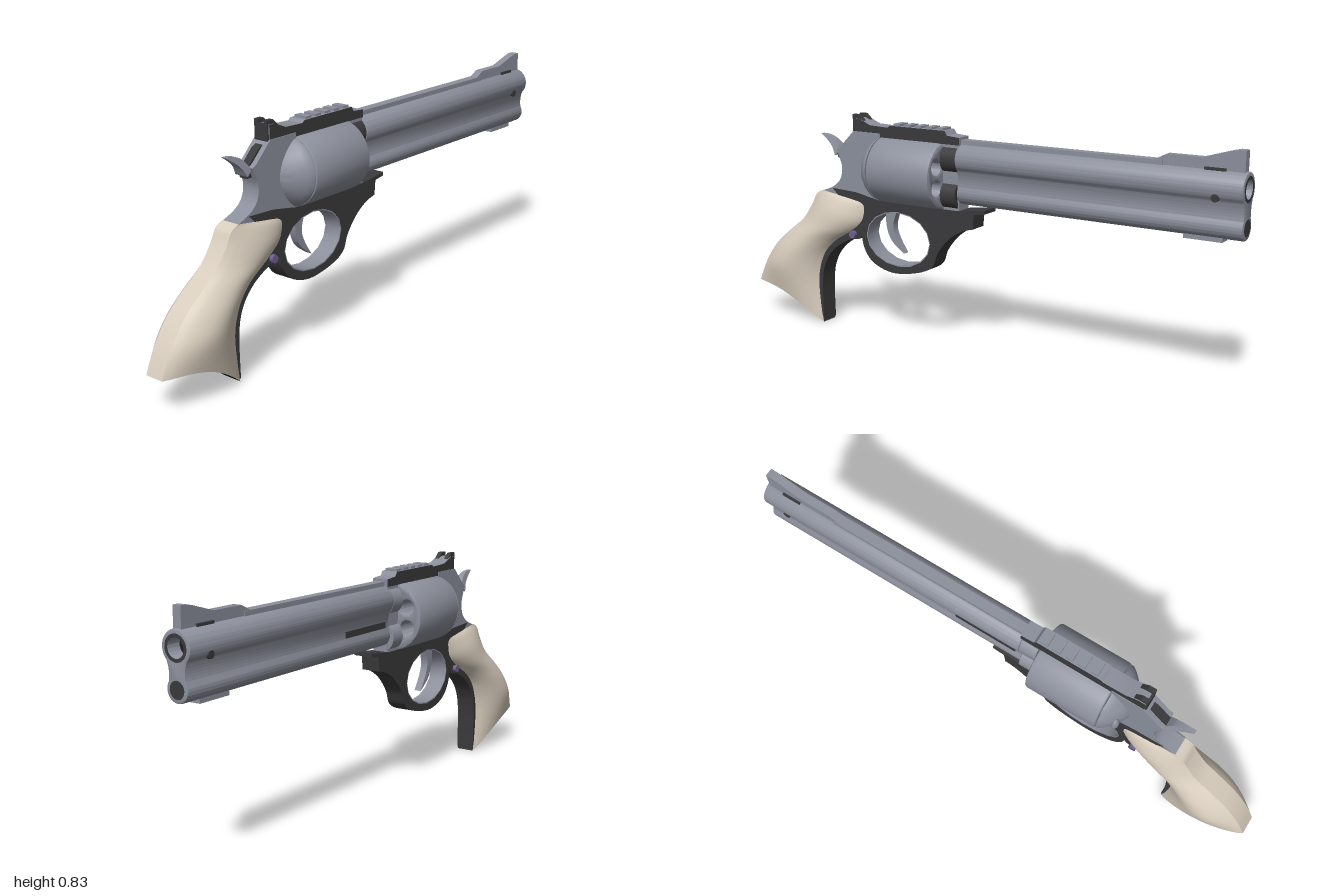
import * as THREE from 'three';
import { toCreasedNormals } from 'three/addons/utils/BufferGeometryUtils.js';

const mat = (name, color, side = THREE.FrontSide) => {
  const m = new THREE.MeshStandardMaterial({ color, side });
  m.name = name;
  return m;
};

export function createModel() {
  const model = new THREE.Group();
  model.name = 'revolver';
  const steel = mat('steel', 0x8c909c), dark = mat('dark steel', 0x3a3a3c);
  const ivory = mat('ivory', 0xd8cdbd), black = mat('black', 0x1f1f20);
  const purple = mat('purple pin', 0x6f6090);

  const add = (name, geo, material, x = 0, y = 0, z = 0) => {
    const m = new THREE.Mesh(geo, material);
    m.name = name;
    m.position.set(x, y, z);
    model.add(m);
    return m;
  };
  const box = (name, material, w, y0, y1, z0, z1, x = 0) =>
    add(name, new THREE.BoxGeometry(w, y1 - y0, z1 - z0), material, x, (y0 + y1) / 2, (z0 + z1) / 2);
  const vecs = pts => pts.map(p => new THREE.Vector2(...p));
  // Side profile drawn as (z, y), extruded symmetrically across x
  const profile = (name, shape, half, material) => {
    const g = new THREE.ExtrudeGeometry(shape, { depth: half * 2, bevelEnabled: false, curveSegments: 8 });
    g.translate(0, 0, -half).rotateY(-Math.PI / 2);
    return add(name, toCreasedNormals(g, 0.6), material);
  };
  const poly = pts => new THREE.Shape(vecs(pts));
  const circle = (x, y, r) => new THREE.Path().absarc(x, y, r, 0, Math.PI * 2, true);
  // Extrusion along z starting at z0
  const along = (name, shape, z0, depth, material, bevel = 0) => {
    const g = new THREE.ExtrudeGeometry(shape, {
      depth: depth - 2 * bevel, bevelEnabled: bevel > 0, bevelSize: bevel, bevelThickness: bevel,
      bevelOffset: -bevel, bevelSegments: 2, curveSegments: 32,
    });
    g.translate(0, 0, z0 + bevel);
    return add(name, toCreasedNormals(g, 0.6), material);
  };
  const rod = (r, len, start = 0, sweep = Math.PI * 2) =>
    new THREE.CylinderGeometry(r, r, len, 28, 1, false, start, sweep).rotateX(Math.PI / 2);

  // Barrel with full underlug and waisted section
  const b = new THREE.Shape();
  b.absarc(0, 0.705, 0.055, -0.75, Math.PI + 0.75, false);
  b.quadraticCurveTo(-0.028, 0.637, -0.034, 0.606);
  b.absarc(0, 0.583, 0.041, Math.PI - 0.6, Math.PI * 2 + 0.6, false);
  b.quadraticCurveTo(0.028, 0.637, 0.0402, 0.6675);
  b.holes.push(circle(0, 0.705, 0.031));
  along('barrel', b, -1, 1.045, steel, 0.006);
  add('bore', new THREE.CircleGeometry(0.033, 28).rotateY(Math.PI), black, 0, 0.705, -0.95);
  add('muzzleCrown', new THREE.RingGeometry(0.031, 0.042, 28).rotateY(Math.PI), dark, 0, 0.705, -1.0005);
  add('underlugCap', new THREE.CircleGeometry(0.028, 24).rotateY(Math.PI), dark, 0, 0.583, -1.0005);
  box('barrelRib', steel, 0.036, 0.74, 0.773, -0.72, 0.045);
  box('underlugPad', steel, 0.04, 0.532, 0.56, -0.93, -0.8);
  box('ejectorSlot', dark, 0.008, 0.612, 0.634, -0.22, 0.02, -0.031);
  const port = new THREE.CylinderGeometry(0.013, 0.013, 0.106, 16).rotateZ(Math.PI / 2);
  add('barrelPorts', port, dark, 0, 0.677, -0.91);
  box('sightSlot', dark, 0.045, 0.757, 0.766, -0.93, -0.86);
  profile('frontSight', poly([[-0.68, 0.75], [-0.69, 0.773], [-0.73, 0.793], [-0.85, 0.793],
    [-0.94, 0.82], [-0.965, 0.826], [-0.99, 0.826], [-0.99, 0.75]]), 0.015, steel);

  // Cylinder with six chambers
  const drum = new THREE.Shape().absarc(0, 0, 0.123, 0, Math.PI * 2, false);
  for (let i = 0; i < 6; i++) {
    const a = i * Math.PI / 3 + Math.PI / 2;
    drum.holes.push(circle(Math.cos(a) * 0.075, Math.sin(a) * 0.075, 0.027));
  }
  along('cylinder', drum, 0.112, 0.274, steel, 0.009).position.y = 0.637;

  // Domed recoil shield and release button
  const dome = new THREE.LatheGeometry(vecs([[0, 0.389], [0.12, 0.389], [0.119, 0.395], [0.107, 0.412],
    [0.086, 0.433], [0.06, 0.452], [0.03, 0.467], [0, 0.472]]), 48).rotateX(Math.PI / 2);
  add('recoilShield', toCreasedNormals(dome, 0.7), steel, 0, 0.637, 0);
  const button = add('releaseButton', new THREE.SphereGeometry(1, 20, 14), steel, -0.078, 0.633, 0.438);
  button.scale.set(0.017, 0.035, 0.014);

  // Collars joining the barrel and crane to the frame
  box('framePost', steel, 0.06, 0.515, 0.77, 0.04, 0.108);
  for (const [name, y, r] of [['barrelCollar', 0.702, 0.052], ['craneCollar', 0.572, 0.052]]) {
    add(name + 'Left', rod(r, 0.062, 0, Math.PI), dark, 0, y, 0.077);
    add(name + 'Right', rod(r, 0.062, Math.PI, Math.PI), steel, 0, y, 0.077);
  }

  // Rear frame
  const rear = new THREE.Shape();
  rear.moveTo(0.385, 0.77);
  rear.lineTo(0.385, 0.5);
  rear.lineTo(0.5, 0.47);
  rear.lineTo(0.67, 0.5);
  rear.lineTo(0.66, 0.53);
  rear.splineThru(vecs([[0.605, 0.553], [0.572, 0.585], [0.563, 0.63], [0.578, 0.675], [0.588, 0.695]]));
  rear.lineTo(0.57, 0.705);
  rear.lineTo(0.505, 0.77);
  profile('rearFrame', rear, 0.034, steel);

  // Lower frame and trigger guard
  const guard = new THREE.Shape();
  guard.moveTo(0.61, 0.545);
  guard.lineTo(0.5, 0.54);
  guard.lineTo(0.39, 0.52);
  guard.lineTo(0.05, 0.52);
  guard.lineTo(-0.07, 0.535);
  guard.lineTo(-0.07, 0.522);
  guard.lineTo(-0.025, 0.515);
  guard.lineTo(-0.02, 0.462);
  guard.splineThru(vecs([[0.03, 0.447], [0.085, 0.41], [0.13, 0.355], [0.155, 0.3], [0.22, 0.268],
    [0.33, 0.252], [0.42, 0.278], [0.464, 0.33], [0.475, 0.39], [0.475, 0.45]]));
  guard.lineTo(0.53, 0.47);
  const oval = (rz, ry) => new THREE.Path().absellipse(0.308, 0.383, rz, ry, 0, Math.PI * 2, true, 0);
  guard.holes.push(oval(0.145, 0.104));
  profile('triggerGuardFrame', guard, 0.0355, dark);
  const lining = new THREE.Shape().absellipse(0.308, 0.383, 0.147, 0.106, 0, Math.PI * 2, false, 0);
  lining.holes.push(oval(0.141, 0.1));
  profile('guardLining', lining, 0.0345, steel);

  // Trigger
  const trigger = new THREE.Shape();
  trigger.moveTo(0.32, 0.5);
  trigger.lineTo(0.372, 0.5);
  trigger.splineThru(vecs([[0.375, 0.43], [0.352, 0.37], [0.296, 0.326]]));
  trigger.splineThru(vecs([[0.33, 0.38], [0.343, 0.43], [0.32, 0.5]]));
  profile('trigger', trigger, 0.014, steel);

  // Top strap, raised ribs and rear sight
  profile('topStrap', poly([[0.04, 0.755], [0.04, 0.782], [0.09, 0.786], [0.1, 0.802], [0.34, 0.802],
    [0.35, 0.794], [0.43, 0.797], [0.48, 0.818], [0.505, 0.818], [0.505, 0.755]]), 0.031, [dark, steel]);
  for (let i = 0; i < 5; i++) box('strapRib', steel, 0.05, 0.798, 0.81, 0.11 + i * 0.047, 0.138 + i * 0.047);
  box('rearSightPlate', dark, 0.056, 0.74, 0.82, 0.503, 0.511);
  for (const s of [-1, 1])
    profile('rearSightEar', poly([[0.45, 0.8], [0.485, 0.832], [0.511, 0.832], [0.511, 0.8]]), 0.008, dark)
      .position.x = s * 0.02;

  // Hammer
  profile('hammerBody', poly([[0.5, 0.66], [0.595, 0.66], [0.6, 0.69], [0.58, 0.705], [0.54, 0.745], [0.5, 0.765]]),
    0.015, dark);
  const spur = new THREE.Shape();
  spur.moveTo(0.58, 0.69);
  spur.lineTo(0.602, 0.67);
  spur.splineThru(vecs([[0.62, 0.7], [0.645, 0.722], [0.68, 0.745]]));
  spur.splineThru(vecs([[0.645, 0.742], [0.61, 0.725], [0.58, 0.69]]));
  const spurMesh = profile('hammerSpur', spur, 0.025, steel);
  // Spur is broad low down and narrows towards its tip
  const sp = spurMesh.geometry.attributes.position;
  for (let i = 0; i < sp.count; i++)
    sp.setX(i, sp.getX(i) * THREE.MathUtils.mapLinear(sp.getY(i), 0.67, 0.745, 1.1, 0.3));
  spurMesh.geometry.computeVertexNormals();

  // Grip cross-sections: back z, y, front z, y, half width, upward bow
  const keys = [[0.66, 0.532, 0.475, 0.505, 0.036, 0], [0.69, 0.515, 0.46, 0.485, 0.05, 0],
    [0.712, 0.475, 0.475, 0.43, 0.068, 0], [0.76, 0.41, 0.53, 0.385, 0.076, 0],
    [0.835, 0.352, 0.61, 0.335, 0.083, 0], [0.905, 0.29, 0.665, 0.27, 0.093, 0],
    [0.962, 0.21, 0.69, 0.165, 0.095, 0.02], [1, 0.128, 0.675, 0.002, 0.075, 0.045]];
  const sample = (k, t) => {
    const f = t * (keys.length - 1), i = Math.min(Math.floor(f), keys.length - 2);
    const at = n => keys[THREE.MathUtils.clamp(n, 0, keys.length - 1)][k];
    const [p0, p1, p2, p3] = [at(i - 1), at(i), at(i + 1), at(i + 2)], u = f - i;
    return p1 + 0.5 * u * (p2 - p0 + u * (2 * p0 - 5 * p1 + 4 * p2 - p3 + u * (3 * (p1 - p2) + p3 - p0)));
  };
  const N = 28, M = 16, rows = [];
  for (let i = 0; i <= N; i++) {
    const [bz, by, fz, fy, w, bow] = [0, 1, 2, 3, 4, 5].map(k => sample(k, i / N));
    rows.push(Array.from({ length: M + 1 }, (_, j) => {
      const s = j / M, arch = Math.sin(Math.PI * s);
      return [0.035 + (w - 0.035) * Math.pow(Math.max(arch, 0), 0.8),
        by + (fy - by) * s + bow * arch, bz + (fz - bz) * s];
    }));
  }
  const sheet = (pts, flip) => {
    const n = pts[0].length, idx = [];
    for (let i = 0; i < pts.length - 1; i++) for (let j = 0; j < n - 1; j++) {
      const a = i * n + j, c = a + n;
      idx.push(...(flip ? [a, a + 1, c, a + 1, c + 1, c] : [a, c, a + 1, a + 1, c, c + 1]));
    }
    const g = new THREE.BufferGeometry();
    g.setAttribute('position', new THREE.Float32BufferAttribute(pts.flat(2), 3));
    g.setIndex(idx);
    g.computeVertexNormals();
    return g;
  };
  const mirror = p => [-p[0], p[1], p[2]];
  const strip = pts => pts.map(p => [mirror(p), p]);
  add('gripLeft', sheet(rows), ivory);
  add('gripRight', sheet(rows.map(r => r.map(mirror)), true), ivory);
  add('gripBack', sheet(strip(rows.map(r => r[0]))), ivory);
  add('gripFront', sheet(strip(rows.map(r => r[M])), true), dark);
  add('gripTop', sheet(strip(rows[0]), true), ivory);
  add('gripButt', sheet(strip(rows[N])), black);

  // Dark strap along the front of the grip
  const strap = new THREE.Shape();
  strap.moveTo(0.475, 0.45);
  strap.splineThru(vecs([[0.478, 0.37], [0.53, 0.355], [0.6, 0.315], [0.65, 0.255], [0.672, 0.17], [0.672, 0.01]]));
  strap.lineTo(0.69, 0.06);
  strap.splineThru(vecs([[0.7, 0.17], [0.682, 0.27], [0.625, 0.345], [0.54, 0.4], [0.5, 0.45]]));
  profile('frontStrap', strap, 0.036, dark);
  add('gripPin', new THREE.CylinderGeometry(0.014, 0.014, 0.1, 16).rotateZ(Math.PI / 2), purple, 0, 0.378, 0.512);

  return model;
}
